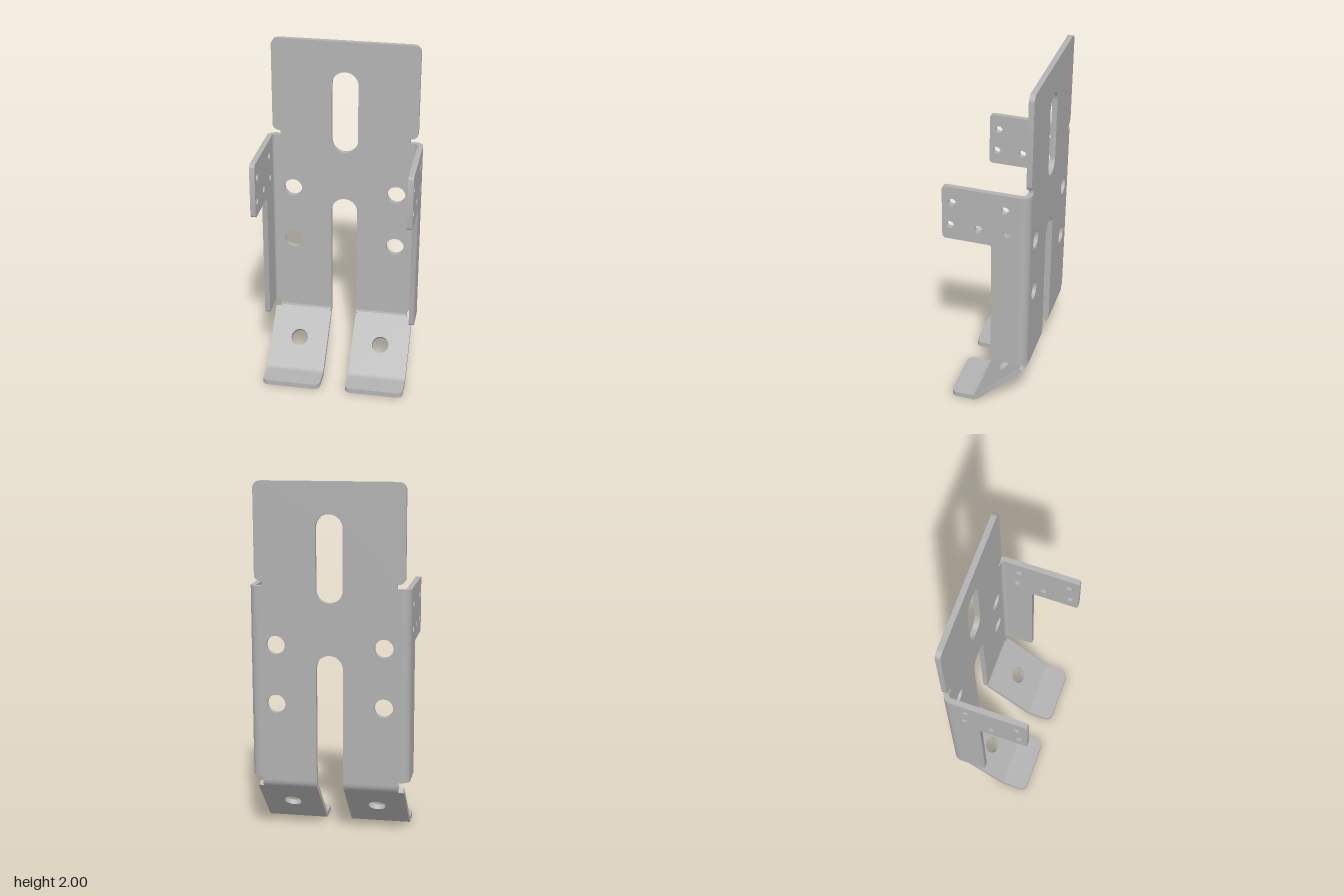
import * as THREE from 'three';
import { toCreasedNormals } from 'three/addons/utils/BufferGeometryUtils.js';

const T = 0.03;        // sheet thickness
const BACK = -0.215;   // back face of the main plate
const TILT = -0.0175;  // slight backward lean

// Closed outline from [x, y, cornerRadius] points with rounded corners
function outline(points) {
  const shape = new THREE.Shape();
  const n = points.length;
  points.forEach(([x, y, r = 0], i) => {
    const p = new THREE.Vector2(x, y);
    const toward = (q, d) => {
      const v = new THREE.Vector2(q[0], q[1]).sub(p);
      return p.clone().add(v.setLength(d));
    };
    const prev = points[(i + n - 1) % n], next = points[(i + 1) % n];
    const a = toward(prev, r), b = toward(next, r);
    if (i === 0) shape.moveTo(a.x, a.y); else shape.lineTo(a.x, a.y);
    if (r > 0) {
      const c = toward(prev, r * 0.4477), d = toward(next, r * 0.4477);
      shape.bezierCurveTo(c.x, c.y, d.x, d.y, b.x, b.y);
    }
  });
  shape.closePath();
  return shape;
}

function addHole(shape, x, y, r) {
  shape.holes.push(new THREE.Path().absarc(x, y, r, 0, Math.PI * 2, true));
}

// Section of a bent sheet: inner radius to outer radius between two angles
function bendSection(x, y, outer, a0, a1) {
  const s = new THREE.Shape();
  s.absarc(x, y, outer, a0, a1, false);
  s.absarc(x, y, outer - T, a1, a0, true);
  s.closePath();
  return s;
}

function extrude(shape, depth) {
  const g = new THREE.ExtrudeGeometry(shape, { depth, bevelEnabled: false, curveSegments: 14 });
  return toCreasedNormals(g, 0.5);
}

export function createModel() {
  const steel = new THREE.MeshStandardMaterial({ color: 0xb2b2b2 });
  steel.name = 'grey steel';
  const model = new THREE.Group();
  model.name = 'bracket';
  const body = new THREE.Group();
  body.name = 'bentSheet';
  body.rotation.x = TILT;
  body.position.y = -0.002;
  model.add(body);

  const add = (name, geometry, x, y, z) => {
    const mesh = new THREE.Mesh(geometry, steel);
    mesh.name = name;
    mesh.position.set(x, y, z);
    body.add(mesh);
  };

  // Main plate: half outline mirrored, with relief notches and the open lower slot
  const half = [
    [0.075, 1.055, 0.0749], [0.075, 0.325], [0.385, 0.325], [0.385, 0.345], [0.397, 0.345],
    [0.397, 1.432], [0.372, 1.432], [0.372, 1.46, 0.006], [0.417, 1.46, 0.035], [0.417, 2.004, 0.04],
  ];
  const plate = outline([...half, ...half.map(([x, y, r]) => [-x, y, r]).reverse()]);
  for (const s of [-1, 1]) for (const y of [0.77, 1.105]) addHole(plate, s * 0.302, y, 0.052);
  const slot = new THREE.Path();
  slot.absarc(0, 1.755, 0.075, 0, Math.PI, false);
  slot.absarc(0, 1.42, 0.075, Math.PI, Math.PI * 2, false);
  slot.closePath();
  plate.holes.push(slot);
  add('mainPlate', extrude(plate, T), 0, 0, BACK);

  // Side flange profile, drawn in z and y
  const flange = outline([
    [-0.165, 0.345], [-0.009, 0.345, 0.02], [-0.009, 1.115, 0.015],
    [0.265, 1.115, 0.02], [0.265, 1.432, 0.02], [-0.165, 1.432],
  ]);
  for (const [z, y] of [[0.209, 1.342], [-0.082, 1.342], [0.221, 1.202], [0.063, 1.202], [-0.094, 1.202]]) {
    addHole(flange, z, y, 0.022);
  }

  // Legs: sloped panel with a bolt hole, and flat toe
  const w = 0.171, slopeLength = 0.375;
  const slope = outline([[-w, -slopeLength], [w, -slopeLength], [w, 0, 0.012], [-w, 0, 0.012]]);
  addHole(slope, 0, -0.187, 0.05);
  const toe = outline([[-w, -0.125, 0.035], [w, -0.125, 0.035], [w, 0], [-w, 0]]);

  for (const s of [1, -1]) {
    const side = s > 0 ? 'left' : 'right';
    const q = Math.PI / 4;

    add(side + 'Flange', extrude(flange, T).rotateY(-Math.PI / 2), s > 0 ? 0.447 : -0.417, 0, 0);
    const start = s > 0 ? 0 : Math.PI / 2;
    const corner = bendSection(s * 0.397, 0.165, 0.05, start, start + Math.PI / 2);
    add(side + 'FlangeBend', extrude(corner, 1.087).rotateX(-Math.PI / 2), 0, 0.345, 0);

    const upper = bendSection(-0.155, 0.325, 0.06, Math.PI, 5 * q);
    add(side + 'LegUpperBend', extrude(upper, 0.31).rotateY(-Math.PI / 2), s > 0 ? 0.385 : -0.075, 0, 0);
    add(side + 'LegSlope', extrude(slope, T).rotateX(-q), s * 0.246, 0.2826, -0.1974);
    const lower = bendSection(0.11, 0.06, 0.06, 5 * q, 6 * q);
    add(side + 'LegLowerBend', extrude(lower, 2 * w).rotateY(-Math.PI / 2), s * 0.246 + w, 0, 0);
    add(side + 'Toe', extrude(toe, T).rotateX(-Math.PI / 2), s * 0.246, 0, 0.11);
  }
  return model;
}
